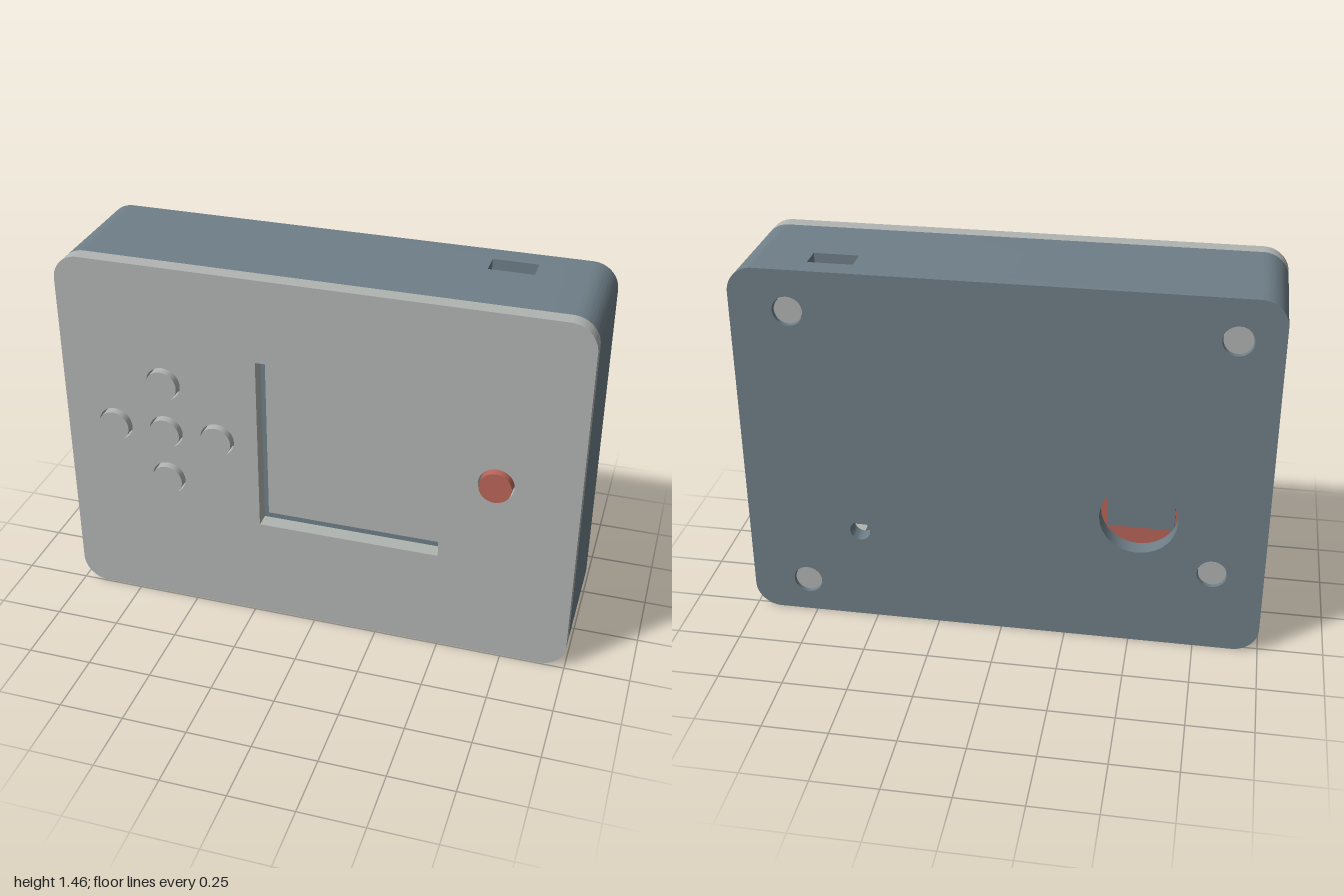
import * as THREE from 'three';
import { toCreasedNormals } from 'three/addons/utils/BufferGeometryUtils.js';

const H = 1.46, R = 0.1, T = 0.06; // case height, corner radius, wall thickness
const Z_BACK = -0.267, Z_SEAM = 0.185, Z_FACE = 0.245, Z_TOP = 0.267, Z_IN = -0.2;

export function createModel() {
  const model = new THREE.Group();
  model.name = 'handheldConsole';
  const mat = (name, color) => {
    const m = new THREE.MeshStandardMaterial({ color });
    m.name = name;
    return m;
  };
  const grey = mat('light grey', 0xb1b5b2);
  const slate = mat('slate', 0x6f7f88);
  const red = mat('red', 0xb9655a);

  const add = (name, geometry, material) => {
    const mesh = new THREE.Mesh(geometry, material);
    mesh.name = name;
    model.add(mesh);
    return mesh;
  };
  const box = (name, material, x0, x1, y0, y1, z0, z1) => {
    const g = new THREE.BoxGeometry(x1 - x0, y1 - y0, z1 - z0);
    add(name, g, material).position.set((x0 + x1) / 2, (y0 + y1) / 2, (z0 + z1) / 2);
  };
  const disc = (name, material, x, y, r, z0, z1) => {
    const g = new THREE.CylinderGeometry(r, r, z1 - z0, 40).rotateX(Math.PI / 2);
    add(name, g, material).position.set(x, y, (z0 + z1) / 2);
  };
  const extrude = (name, shape, material, z0, z1) => {
    const g = new THREE.ExtrudeGeometry(shape, { depth: z1 - z0, bevelEnabled: false, curveSegments: 14 });
    add(name, toCreasedNormals(g, 0.5), material).position.z = z0;
  };
  const panel = (holes) => {
    const s = new THREE.Shape();
    s.moveTo(-1 + R, 0).lineTo(1 - R, 0);
    s.absarc(1 - R, R, R, -Math.PI / 2, 0);
    s.absarc(1 - R, H - R, R, 0, Math.PI / 2);
    s.absarc(-1 + R, H - R, R, Math.PI / 2, Math.PI);
    s.absarc(-1 + R, R, R, Math.PI, Math.PI * 1.5);
    for (const [x, y, r] of holes) s.holes.push(new THREE.Path().absarc(x, y, r, 0, Math.PI * 2, true));
    return s;
  };

  // Front plate with screen window and button holes
  const d = 0.208, px = -0.592, py = 0.773;
  const pad = [[px, py], [px - d, py], [px + d, py], [px, py + d], [px, py - d]];
  const fire = [0.69, py];
  const face = panel([...pad, fire].map(([x, y]) => [x, y, 0.068]));
  const [wx0, wx1, wy0, wy1] = [-0.222, 0.487, 0.417, 1.13];
  face.holes.push(new THREE.Path([[wx0, wy0], [wx0, wy1], [wx1, wy1], [wx1, wy0]].map((p) => new THREE.Vector2(...p))));
  extrude('frontPlate', face, grey, Z_SEAM, Z_FACE);

  // Buttons and screen
  pad.forEach(([x, y]) => disc('padButton', grey, x, y, 0.061, 0.15, Z_TOP));
  disc('actionButton', red, ...fire, 0.061, 0.15, Z_TOP);
  box('screen', grey, wx0 + 0.013, wx1 - 0.013, wy0 + 0.013, wy1 - 0.013, 0.13, 0.175);
  box('innerFrame', slate, -0.94, 0.94, T, H - T, 0.11, 0.14);

  // Back panel with screw recesses, pin hole and round vent
  const screws = [[0.78, 1.3], [-0.835, 1.3], [0.78, 0.14], [-0.805, 0.335]];
  const vent = [-0.52, 0.55];
  const back = panel([...screws.map(([x, y]) => [x, y, 0.057]), [0.555, 0.39, 0.04], [...vent, 0.148]]);
  extrude('backPanel', back, slate, Z_BACK, Z_IN);
  screws.forEach(([x, y]) => disc('screw', grey, x, y, 0.053, Z_BACK + 0.012, Z_IN));

  // Case walls: two C-shaped ends joined by bars that leave the slots open
  const cShape = (side, xIn) => {
    const s = new THREE.Shape();
    const x = side, c = side * (1 - R), i = side * (1 - T), cw = side < 0;
    const a = (t) => (side > 0 ? t : Math.PI - t);
    s.moveTo(xIn, 0).lineTo(c, 0);
    s.absarc(c, R, R, a(-Math.PI / 2), a(0), cw);
    s.lineTo(x, H - R);
    s.absarc(c, H - R, R, a(0), a(Math.PI / 2), cw);
    s.lineTo(xIn, H).lineTo(xIn, H - T).lineTo(i, H - T).lineTo(i, T).lineTo(xIn, T);
    s.closePath();
    return s;
  };
  extrude('rightWall', cShape(-1, 0.5), slate, Z_IN, Z_SEAM);
  extrude('leftWall', cShape(1, 0.78), slate, Z_IN, Z_SEAM);
  box('topBar', slate, 0.5, 0.55, H - T, H, Z_IN, Z_SEAM);
  box('topBar', slate, 0.72, 0.78, H - T, H, Z_IN, Z_SEAM);
  box('topSlotBack', slate, 0.55, 0.72, H - T, H, Z_IN, -0.18);
  box('topSlotFront', slate, 0.55, 0.72, H - T, H, -0.09, Z_SEAM);
  box('bottomSlotFront', slate, 0.5, 0.78, 0, T, -0.06, Z_SEAM);

  // Inside: circuit board, buzzer behind the vent, connector at the bottom slot
  box('circuitBoard', red, -0.9, 0.1, 0.2, 0.95, -0.09, -0.07);
  box('buzzer', slate, vent[0] - 0.13, vent[0] + 0.13, vent[1] - 0.13, vent[1] + 0.13, -0.117, -0.09);
  disc('buzzerCap', slate, ...vent, 0.1, -0.125, -0.117);
  box('connector', grey, 0.575, 0.695, 0.04, 0.3, -0.17, -0.08);
  box('connectorBase', grey, 0.52, 0.76, 0.08, 0.26, -0.14, -0.06);
  return model;
}
